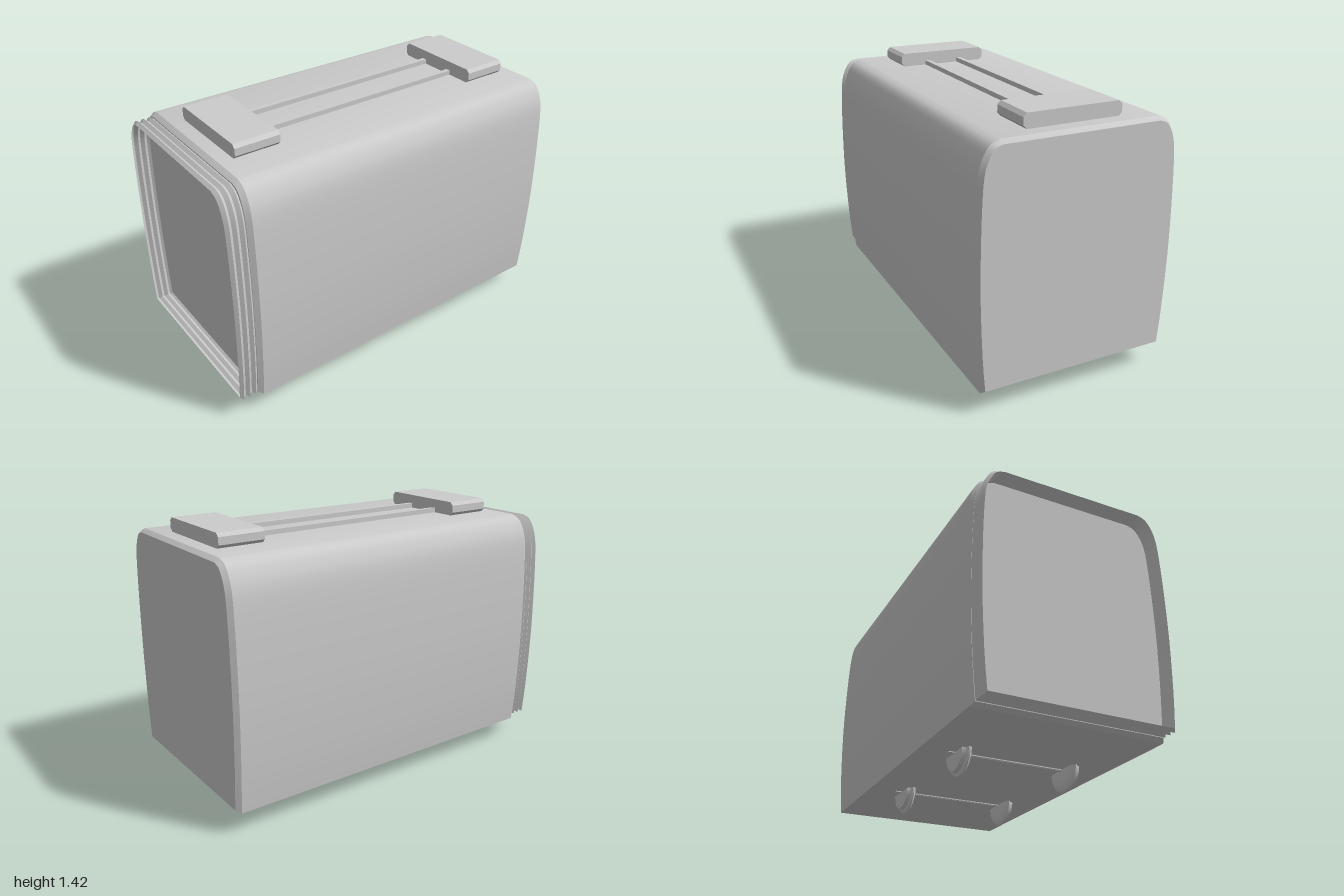
import * as THREE from 'three';
import { toCreasedNormals } from 'three/addons/utils/BufferGeometryUtils.js';

const paint = new THREE.MeshStandardMaterial({ color: 0xcccccc });
paint.name = 'plain grey';
const paintDouble = paint.clone();
paintDouble.side = THREE.DoubleSide;

const V = (x, y) => new THREE.Vector2(x, y);

// Closed carriage cross-section, counter-clockwise: bulging sides, rounded roof edges
function carriageProfile() {
  const right = new THREE.SplineCurve([
    V(0.51, 0.12), V(0.525, 0.32), V(0.535, 0.62), V(0.533, 0.88), V(0.525, 1.1),
    V(0.513, 1.22), V(0.488, 1.29), V(0.455, 1.333), V(0.41, 1.35),
  ]).getPoints(24);
  const left = right.map((p) => V(-p.x, p.y)).reverse();
  return [...right, ...left];
}

function createModel() {
  const model = new THREE.Group();
  model.name = 'trainCarriage';

  function add(name, geometry, x = 0, y = 0, z = 0, material = paint) {
    const mesh = new THREE.Mesh(geometry, material);
    mesh.name = name;
    mesh.position.set(x, y, z);
    model.add(mesh);
    return mesh;
  }

  // Carriage body with chamfered ends
  const profile = carriageProfile();
  const bevel = 0.025;
  const body = new THREE.ExtrudeGeometry(new THREE.Shape(profile), {
    depth: 1.9 - 2 * bevel, bevelEnabled: true, bevelSegments: 1,
    bevelThickness: bevel, bevelSize: 0.018, bevelOffset: -0.018,
  });
  add('body', toCreasedNormals(body, 0.6), 0, 0, -1 + bevel);

  // Open, pleated gangway bellows on the front end
  const positions = [], indices = [];
  const n = profile.length, pleats = 6, midY = 0.735;
  for (let i = 0; i <= pleats; i++) {
    const ridge = i % 2 === 1;
    const sx = ridge ? 0.975 : 0.95, sy = ridge ? 0.975 : 0.953;
    for (const p of profile) {
      positions.push(p.x * sx, midY + (p.y - midY) * sy, 0.895 + (0.105 * i) / pleats);
    }
  }
  for (let i = 0; i < pleats; i++) {
    for (let j = 0; j < n; j++) {
      const a = i * n + j, b = i * n + ((j + 1) % n);
      indices.push(a, b, b + n, a, b + n, a + n);
    }
  }
  const bellows = new THREE.BufferGeometry();
  bellows.setAttribute('position', new THREE.Float32BufferAttribute(positions, 3));
  bellows.setIndex(indices);
  add('gangwayBellows', toCreasedNormals(bellows, 0.6), 0, 0, 0, paintDouble);

  // Roof boxes with clipped edges
  const w = 0.26, h = 0.075, c = 0.018;
  const boxShape = new THREE.Shape([
    V(-w + c, 0), V(w - c, 0), V(w, c), V(w, h - c),
    V(w - c, h), V(-w + c, h), V(-w, h - c), V(-w, c),
  ]);
  for (const [name, z] of [['rearRoofBox', -0.9], ['frontRoofBox', 0.555]]) {
    add(name, new THREE.ExtrudeGeometry(boxShape, { depth: 0.245, bevelEnabled: false }), 0, 1.349, z);
  }

  // Roof conduits between the boxes
  for (const x of [-0.102, 0.098]) {
    add('roofConduit', new THREE.BoxGeometry(0.026, 0.035, 1.24), x, 1.3575, -0.05);
  }

  // Flanged wheels, half sunk in the floor, joined by axles
  const wheelProfile = [
    V(0, -0.03), V(0.08, -0.025), V(0.108, -0.02), V(0.121, -0.008),
    V(0.119, 0.0), V(0.103, 0.006), V(0.097, 0.026), V(0, 0.026),
  ];
  const wheel = toCreasedNormals(new THREE.LatheGeometry(wheelProfile, 16), 0.6);
  for (const z of [0.32, -0.41]) {
    for (const side of [1, -1]) {
      add('wheel', wheel, side * 0.304, 0.124, z).rotation.z = -side * Math.PI / 2;
    }
    const axle = add('axle', new THREE.CylinderGeometry(0.011, 0.011, 0.58, 8), 0, 0.12, z);
    axle.rotation.z = Math.PI / 2;
    add('axleMount', new THREE.BoxGeometry(0.73, 0.012, 0.03), 0, 0.121, z);
  }

  return model;
}

export { createModel };
